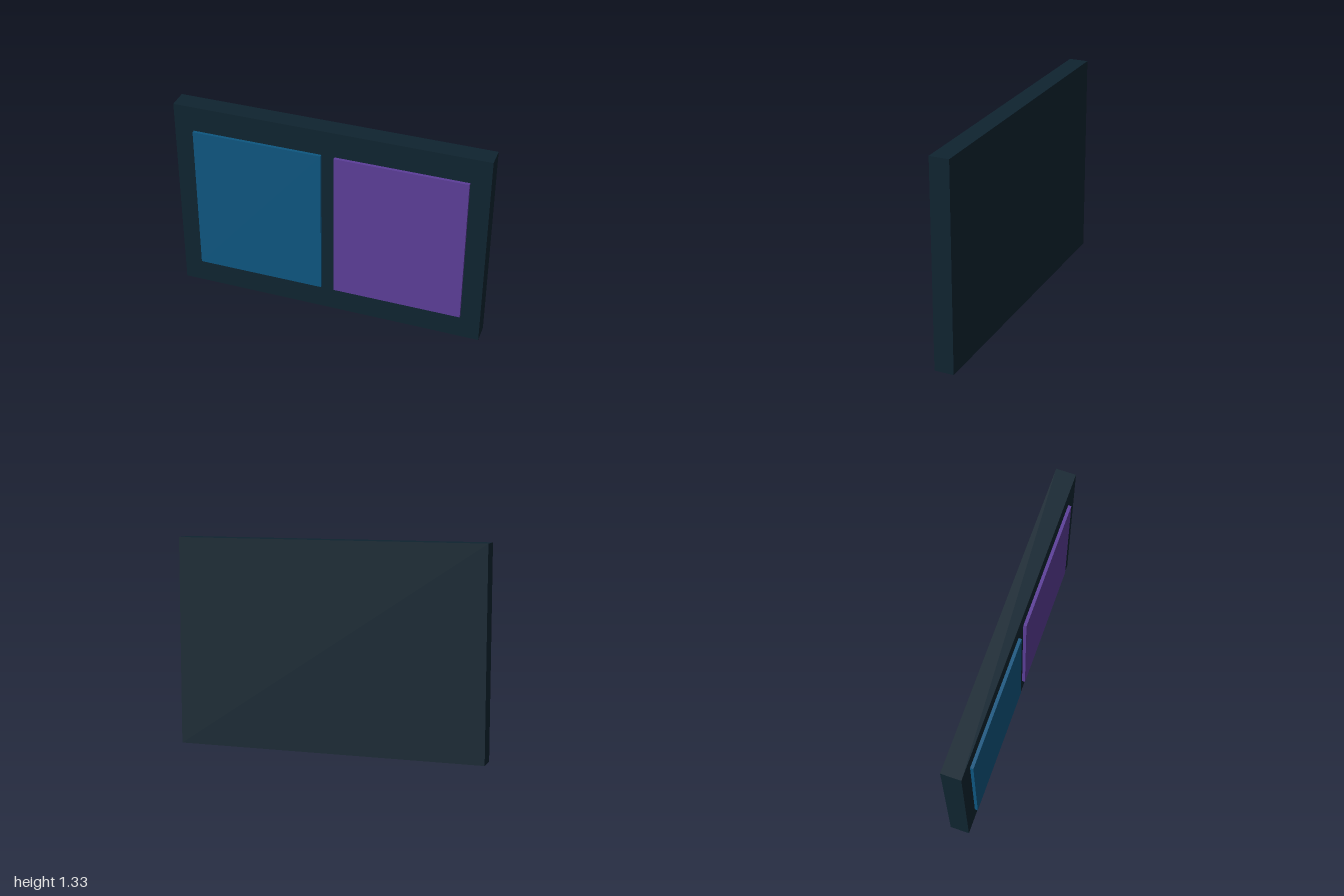
import * as THREE from 'three';

export function createModel() {
  const group = new THREE.Group();
  const material = (name, color) => {
    const m = new THREE.MeshStandardMaterial({ color });
    m.name = name;
    return m;
  };
  const box = (name, size, position, mat) => {
    const mesh = new THREE.Mesh(new THREE.BoxGeometry(...size), mat);
    mesh.name = name;
    mesh.position.set(...position);
    group.add(mesh);
  };

  // Backing board
  const height = 4 / 3;
  box('board', [2, height, 0.125], [0, height / 2, -0.01], material('dark navy', 0x0f2430));

  // Two raised panels on the front, slightly sunk into the board
  const panelSize = [0.833, 1, 0.03];
  box('rightPanel', panelSize, [-0.458, height / 2, 0.0575], material('blue', 0x0e5680));
  box('leftPanel', panelSize, [0.458, height / 2, 0.0575], material('purple', 0x5c3e99));

  return group;
}
